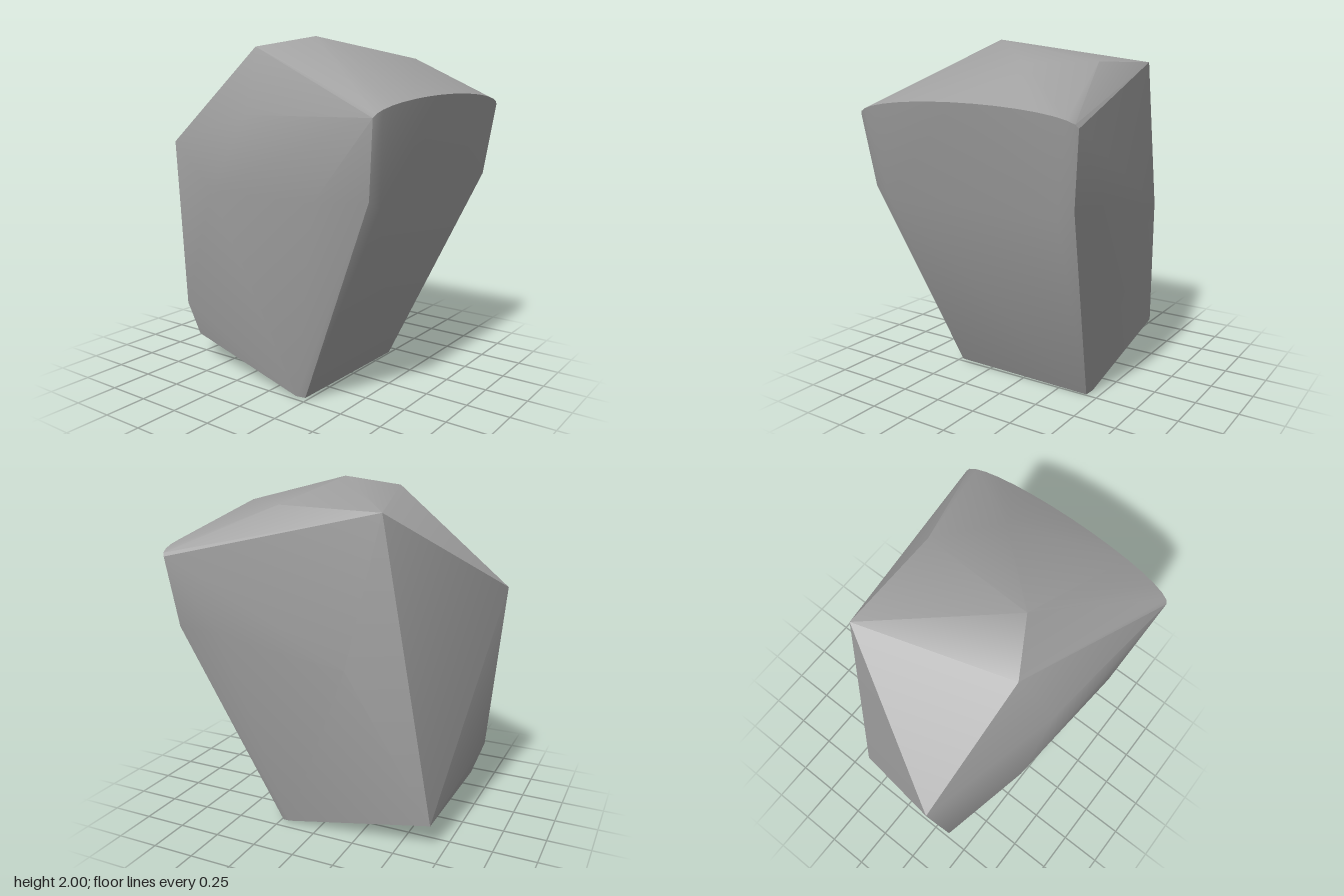
import * as THREE from 'three';
import { toCreasedNormals } from 'three/addons/utils/BufferGeometryUtils.js';
import { ConvexGeometry } from 'three/addons/geometries/ConvexGeometry.js';

export function createModel() {
  const group = new THREE.Group();
  group.name = 'boulder';
  const stone = new THREE.MeshStandardMaterial({ color: 0xa0a0a0 });
  stone.name = 'grey stone';

  const corners = [
    // crown
    [0.13, 2.0, 0.22], [-0.16, 1.945, 0.39], [-0.4, 1.87, -0.47],
    [0.2, 1.885, -0.46], [0.52, 1.88, -0.2], [-0.86, 1.38, 0.36],
    // front and back bulges
    [-0.08, 1.58, 0.585], [-0.33, 1.15, 0.59], [0.43, 1.16, 0.655],
    [-0.25, 1.06, -0.6], [0.48, 1.19, -0.655],
    // foot
    [-0.76, 0.36, 0.39], [-0.69, 0.16, 0.36], [-0.68, 0.16, -0.4],
    [0.24, 0.01, 0.47], [0.19, 0.015, 0.49], [0.24, 0, -0.43], [0.19, 0.01, -0.445],
  ].map((p) => new THREE.Vector3(...p));

  // lower corners of the overhanging side
  for (const s of [-1, 1]) {
    corners.push(new THREE.Vector3(0.76, 1.15, s * 0.55), new THREE.Vector3(0.755, 1.2, s * 0.64));
  }

  // curved rim of the overhanging side
  const steps = 16;
  for (let i = 0; i <= steps; i++) {
    const t = Math.sin((i / steps - 0.5) * Math.PI);
    const bow = Math.sqrt(1 - t * t);
    corners.push(new THREE.Vector3(0.8 + 0.06 * bow, 1.6 + 0.095 * bow, 0.687 * t));
  }

  const rock = new THREE.Mesh(toCreasedNormals(new ConvexGeometry(corners), 0.5), stone);
  rock.name = 'rock';
  group.add(rock);
  return group;
}
